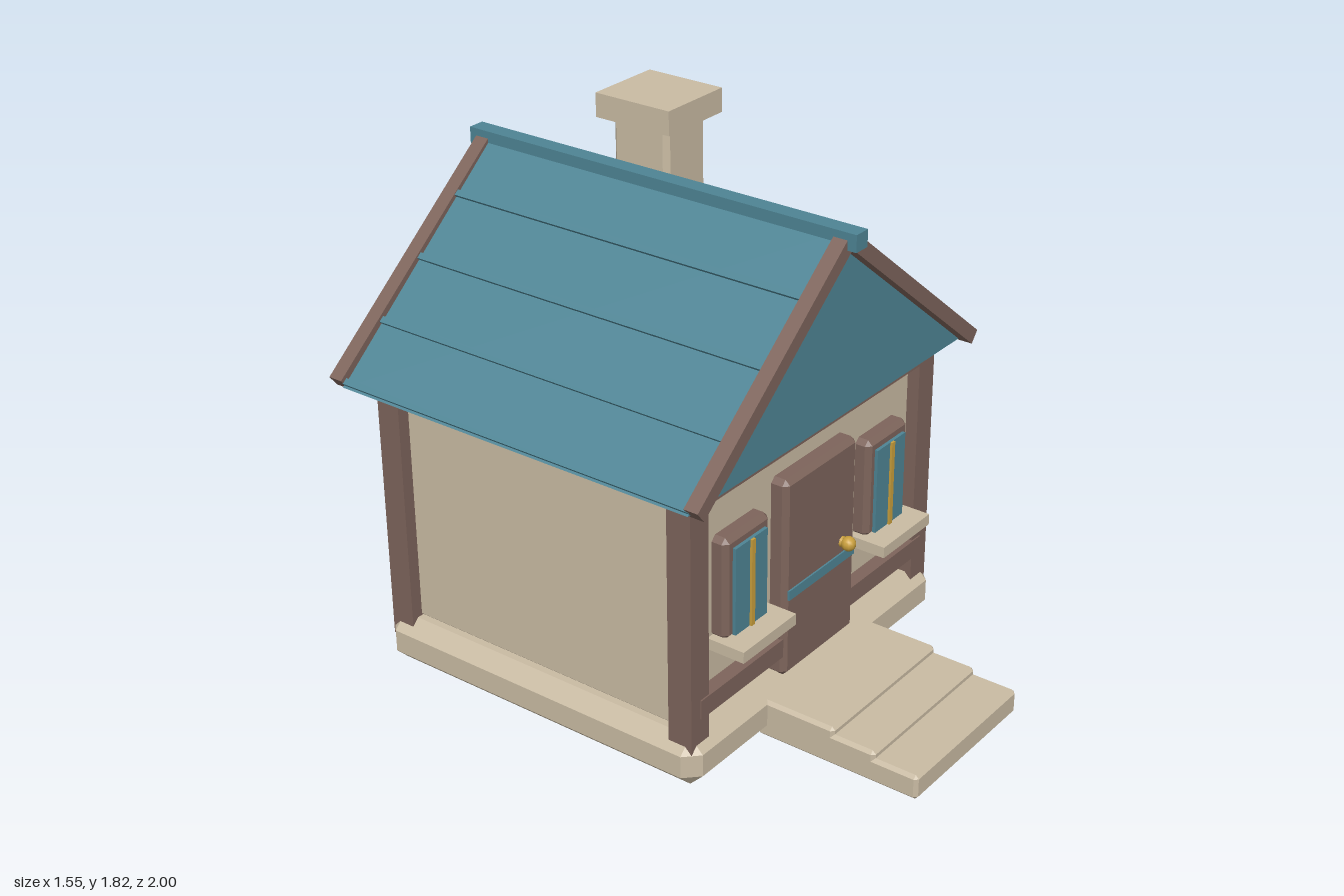
import * as THREE from 'three';
import { ConvexGeometry } from 'three/addons/geometries/ConvexGeometry.js';

const material = (name, color) => {
  const m = new THREE.MeshStandardMaterial({ color });
  m.name = name;
  return m;
};

// Box with flat chamfered edges, centred on the origin
function chamferBox(w, h, d, b) {
  const pts = [];
  for (const sx of [-1, 1]) for (const sy of [-1, 1]) for (const sz of [-1, 1]) {
    const x = w / 2, y = h / 2, z = d / 2;
    pts.push(
      new THREE.Vector3(sx * x, sy * (y - b), sz * (z - b)),
      new THREE.Vector3(sx * (x - b), sy * y, sz * (z - b)),
      new THREE.Vector3(sx * (x - b), sy * (y - b), sz * z));
  }
  return new ConvexGeometry(pts);
}

export function createModel() {
  const house = new THREE.Group();
  house.name = 'house';
  const stone = material('beige stone', 0xc9bba3);
  const wood = material('brown wood', 0x7d645b);
  const teal = material('teal paint', 0x4e8494);
  const gold = material('gold', 0xc99f3c);

  const add = (name, geometry, mat, x = 0, y = 0, z = 0, parent = house) => {
    const mesh = new THREE.Mesh(geometry, mat);
    mesh.name = name;
    mesh.position.set(x, y, z);
    parent.add(mesh);
    return mesh;
  };
  // Block given by its limits on each axis, optionally chamfered
  const block = (name, mat, [x0, x1], [y0, y1], [z0, z1], bevel = 0, parent = house) => {
    const s = [x1 - x0, y1 - y0, z1 - z0];
    const g = bevel ? chamferBox(...s, bevel) : new THREE.BoxGeometry(...s);
    return add(name, g, mat, (x0 + x1) / 2, (y0 + y1) / 2, (z0 + z1) / 2, parent);
  };

  // Foundation and walls
  block('foundation', stone, [-0.7, 0.7], [0, 0.18], [-0.885, 0.43], 0.05);
  block('walls', stone, [-0.63, 0.63], [0.175, 1.035], [-0.82, 0.36], 0.012);

  // Front steps
  [[0.09, 1.0], [0.115, 0.84], [0.14, 0.685]].forEach(([top, front], i) =>
    block('step' + (i + 1), stone, [-0.305, 0.305], [0, top], [0.39, front], 0.012));

  // Corner posts
  for (const s of [-1, 1]) for (const z of [-0.82, 0.36])
    block('cornerPost', wood, [s * 0.63 - 0.045, s * 0.63 + 0.045], [0.1, 1.05], [z - 0.045, z + 0.045]);

  // Horizontal beams, front and back
  for (const [z0, z1] of [[0.34, 0.41], [-0.87, -0.8]]) {
    block('topBeam', wood, [-0.63, 0.63], [0.99, 1.05], [z0, z1]);
    block('lowerBeam', wood, [-0.63, 0.63], [0.245, 0.313], [z0, z1]);
  }

  // Door with its band and knob
  const door = new THREE.Group();
  door.name = 'door';
  house.add(door);
  block('doorPanel', wood, [-0.2, 0.2], [0.17, 0.893], [0.34, 0.42], 0.018, door);
  block('doorBand', teal, [-0.185, 0.185], [0.46, 0.495], [0.418, 0.426], 0, door);
  const neck = add('knobNeck', new THREE.CylinderGeometry(0.015, 0.02, 0.025, 8), gold, 0.12, 0.535, 0.43, door);
  neck.rotation.x = Math.PI / 2;
  add('doorKnob', new THREE.SphereGeometry(0.026, 10, 7), gold, 0.12, 0.535, 0.446, door);

  // Windows
  for (const s of [-1, 1]) {
    const win = new THREE.Group();
    win.name = s > 0 ? 'leftWindow' : 'rightWindow';
    win.position.x = s * 0.393;
    house.add(win);
    block('windowFrame', wood, [-0.117, 0.117], [0.465, 0.828], [0.34, 0.415], 0.018, win);
    block('windowGlass', teal, [-0.083, 0.083], [0.48, 0.79], [0.405, 0.427], 0, win);
    block('windowBar', gold, [-0.009, 0.009], [0.48, 0.79], [0.427, 0.435], 0, win);
    block('windowSill', stone, [-0.14, 0.14], [0.435, 0.475], [0.34, 0.5], 0, win);
  }

  // Solid gable roof
  const apex = 1.685, eaveX = 0.765, eaveY = 1.05;
  const gable = new THREE.Shape([
    new THREE.Vector2(-eaveX, eaveY), new THREE.Vector2(eaveX, eaveY), new THREE.Vector2(0, apex)]);
  add('roof', new THREE.ExtrudeGeometry(gable, { depth: 1.39, bevelEnabled: false }), teal, 0, 0, -0.925);
  block('ridgeCap', teal, [-0.03, 0.03], [1.642, 1.7], [-1, 0.54]);

  // Roof seams and sloping edge boards on both sides
  const slope = (apex - eaveY) / eaveX;
  const angle = Math.atan(slope);
  for (const s of [-1, 1]) {
    for (const x of [0.187, 0.378, 0.568, 0.75]) {
      const seam = add('roofSeam', new THREE.BoxGeometry(0.022, 0.024, 1.39), teal, s * x, apex - slope * x, -0.23);
      seam.rotation.z = -s * angle;
    }
    for (const z of [0.482, -0.948]) {
      const board = add('edgeBoard', new THREE.BoxGeometry(Math.hypot(0.758, 0.61), 0.05, 0.052), wood, s * 0.379, 1.362, z);
      board.rotation.z = -s * Math.atan2(0.61, 0.758);
    }
  }

  // Chimney
  block('chimneyShaft', stone, [0.255, 0.47], [1.2, 1.76], [-0.625, -0.395], 0.018);
  block('chimneyCap', stone, [0.218, 0.506], [1.735, 1.82], [-0.662, -0.357]);

  return house;
}
